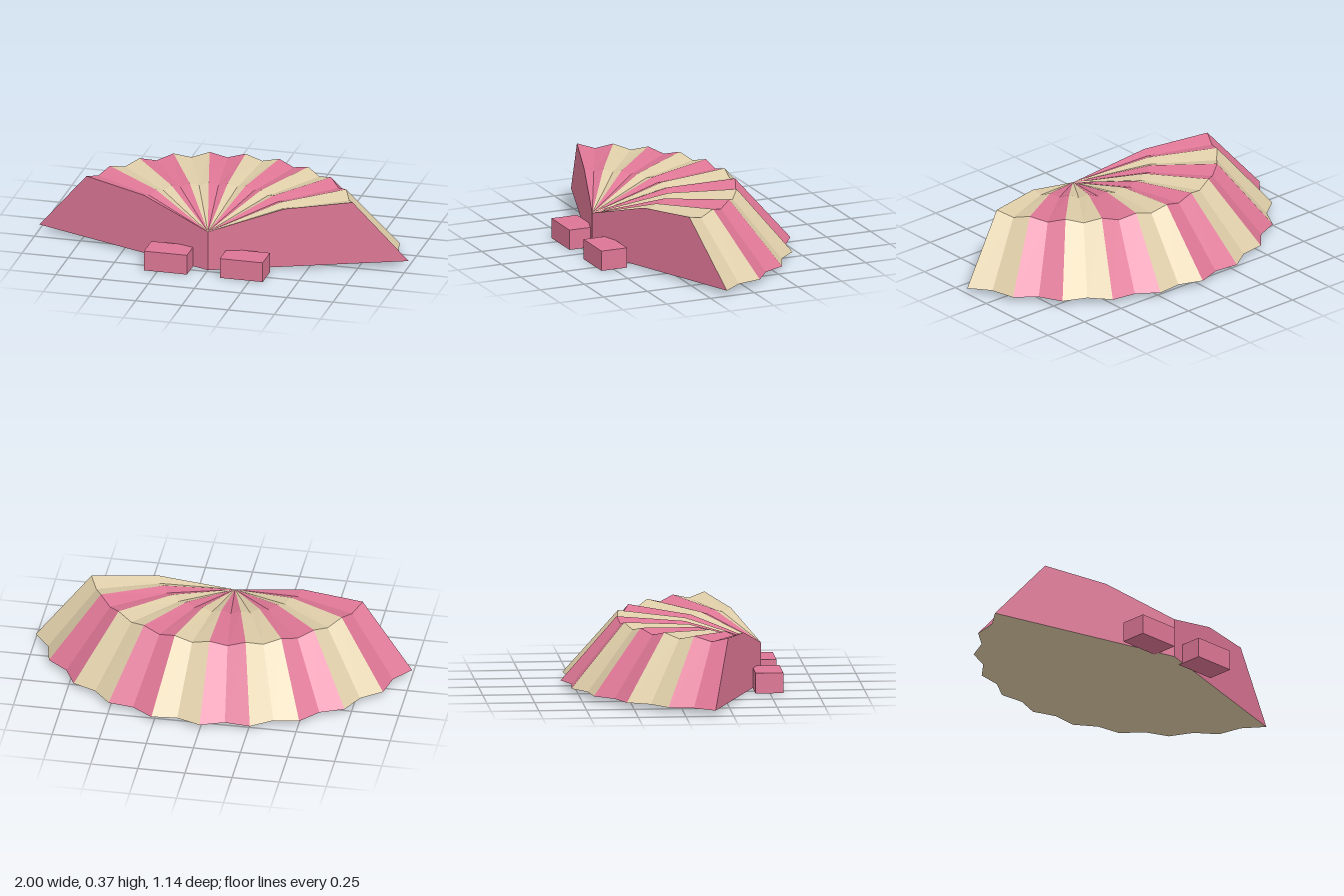
import * as THREE from 'three';

const SEGMENTS = 10, SPREAD = THREE.MathUtils.degToRad(144), PIVOT_Z = 0.48;
// [radius, height] from the pivot out and down to the rim, for ridges and valleys
const RIDGE = [[0, 0.215], [0.4, 0.335], [0.757, 0.365], [1.05, 0.03]];
const VALLEY = [[0, 0.215], [0.4, 0.318], [0.75, 0.34], [1.012, 0.03]];
const BASE = [0, 0, PIVOT_Z];

// Profile points at pleat fold i (even folds are ridges)
function fold(i) {
  const t = (i / (2 * SEGMENTS) - 0.5) * SPREAD;
  return (i % 2 ? VALLEY : RIDGE).map(([r, y]) => [r * Math.sin(t), y, PIVOT_Z - r * Math.cos(t)]);
}

// Mesh from convex polygons, each listed counter-clockwise from outside
function facets(name, polygons, material) {
  const pos = [];
  for (const p of polygons)
    for (let k = 1; k < p.length - 1; k++) pos.push(...p[0], ...p[k], ...p[k + 1]);
  const g = new THREE.BufferGeometry();
  g.setAttribute('position', new THREE.Float32BufferAttribute(pos, 3));
  g.computeVertexNormals();
  const mesh = new THREE.Mesh(g, material);
  mesh.name = name;
  return mesh;
}

export function createModel() {
  const group = new THREE.Group();
  group.name = 'scallopShell';
  const pink = new THREE.MeshStandardMaterial({ color: 0xdd7695, flatShading: true });
  pink.name = 'shell pink';
  const cream = new THREE.MeshStandardMaterial({ color: 0xdecda8, flatShading: true });
  cream.name = 'sand cream';

  // Ribs: two pleat faces each, alternating colours
  const underside = [];
  for (let s = 0; s < SEGMENTS; s++) {
    const top = [], skirt = [];
    for (const i of [2 * s, 2 * s + 1]) {
      const a = fold(i), b = fold(i + 1);
      top.push([a[0], b[1], a[1]], [a[1], b[1], b[2], a[2]]);
      skirt.push([a[2], b[2], b[3], a[3]]);
      underside.push([BASE, a[3], b[3]]);
    }
    const color = s % 2 ? cream : pink;
    group.add(facets('ribTop', top, color), facets('ribSkirt', skirt, color));
  }
  group.add(facets('underside', underside, cream));

  // Flat end walls
  const l = fold(0), r = fold(2 * SEGMENTS);
  group.add(facets('rightWall', [[BASE, l[0], l[1], l[2], l[3]]], pink));
  group.add(facets('leftWall', [[BASE, r[3], r[2], r[1], r[0]]], pink));

  // Hinge blocks
  for (const side of [-1, 1]) {
    const block = new THREE.Mesh(new THREE.BoxGeometry(0.232, 0.108, 0.146), pink);
    block.position.set(side * 0.205, 0.054, 0.497);
    block.name = side > 0 ? 'leftHingeBlock' : 'rightHingeBlock';
    group.add(block);
  }
  return group;
}
